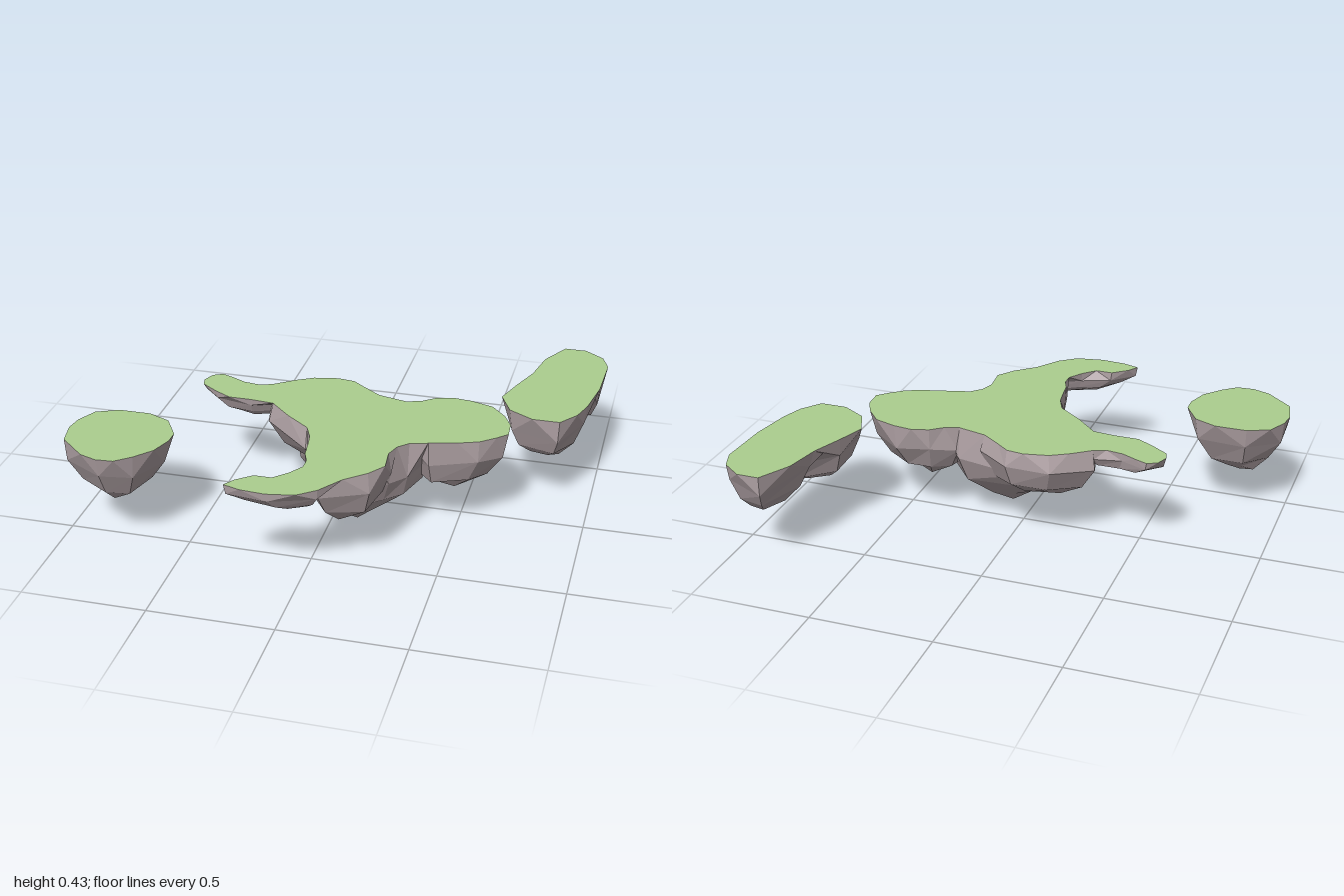
import * as THREE from 'three';

const TOP = 0.425;
const grass = new THREE.MeshStandardMaterial({ color: 0xaccf8f, side: THREE.DoubleSide });
const stone = new THREE.MeshStandardMaterial({ color: 0xb3a5a8, flatShading: true, side: THREE.DoubleSide });

// Shorelines as [x, z], clockwise seen from above
const mainShore = [
  [-.62, -.09], [-.6, -.14], [-.56, -.16], [-.51, -.14], [-.45, -.11], [-.38, -.1], [-.33, -.12], [-.25, -.18],
  [-.18, -.22], [-.08, -.24], [-.01, -.23], [.04, -.19], [.12, -.13], [.24, -.1], [.3, -.12], [.35, -.16],
  [.42, -.18], [.5, -.17], [.59, -.14], [.65, -.07], [.685, 0], [.69, .08], [.65, .12], [.59, .17],
  [.51, .2], [.4, .23], [.33, .25], [.29, .29], [.27, .35], [.28, .45], [.23, .52], [.15, .59],
  [.08, .69], [.01, .745], [-.1, .765], [-.2, .757], [-.27, .735], [-.24, .69], [-.18, .64], [-.11, .64],
  [-.06, .59], [-.02, .53], [-.02, .48], [-.04, .43], [-.05, .35], [-.06, .29], [-.09, .22], [-.19, .14],
  [-.28, .05], [-.38, .04], [-.47, .04], [-.54, 0], [-.61, -.05],
];
const roundShore = [
  [-.86, .26], [-.73, .26], [-.64, .3], [-.58, .4], [-.58, .46], [-.61, .55], [-.67, .62],
  [-.73, .67], [-.8, .675], [-.87, .65], [-.98, .55], [-1, .45], [-.99, .38], [-.95, .3],
];
const longShore = [
  [.8, -.77], [.89, -.77], [.97, -.71], [1, -.63], [.99, -.41], [.96, -.24], [.93, -.15],
  [.87, -.07], [.76, -.07], [.66, -.13], [.61, -.24], [.65, -.36], [.7, -.49], [.73, -.64],
];

function seeded(seed) {
  return () => {
    seed = (seed * 16807) % 2147483647;
    return seed / 2147483647 - 0.5;
  };
}

function grassTop(name, shore) {
  const shape = new THREE.Shape(shore.map(([x, z]) => new THREE.Vector2(x, -z)));
  const mesh = new THREE.Mesh(new THREE.ShapeGeometry(shape), grass);
  mesh.geometry.rotateX(-Math.PI / 2);
  mesh.position.y = TOP;
  mesh.name = name;
  return mesh;
}

// Hanging boulder: the rim shrinks in jittered rings of [scale, depth share] to a low tip.
// Rings below the rim use every second corner, which gives large facets.
function boulder(name, rim, [ax, ay, az], seed, rings) {
  const rand = seeded(seed * 7919 + 13);
  const n = rim.length, pos = [], index = [];
  rings.forEach(([s, d], k) => rim.forEach(([x, z]) => {
    const scale = s + (k ? rand() * 0.09 : 0);
    const depth = d + (k ? rand() * 0.12 : 0);
    pos.push(ax + (x - ax) * scale, TOP - (TOP - ay) * depth, az + (z - az) * scale);
  }));
  pos.push(ax, ay, az);
  const tip = rings.length * n;
  const corner = (k, i) => k * n + (k ? i - i % 2 : i);
  const face = (a, b, c) => { if (a !== b && b !== c && c !== a) index.push(a, b, c); };
  for (let k = 0; k < rings.length; k++) {
    for (let i = 0; i < n; i++) {
      const j = (i + 1) % n, a = corner(k, i), b = corner(k, j);
      if (k === rings.length - 1) {
        face(a, b, tip);
      } else {
        face(a, b, corner(k + 1, j));
        face(a, corner(k + 1, j), corner(k + 1, i));
      }
    }
  }
  const geo = new THREE.BufferGeometry();
  geo.setAttribute('position', new THREE.Float32BufferAttribute(pos, 3));
  geo.setIndex(index);
  geo.computeVertexNormals();
  const mesh = new THREE.Mesh(geo, stone);
  mesh.name = name;
  return mesh;
}

function island(name, ...parts) {
  const group = new THREE.Group();
  group.name = name;
  group.add(...parts);
  return group;
}

export function createModel() {
  const model = new THREE.Group();
  model.name = 'floatingIslands';
  const shore = (a, b) => mainShore.slice(a, b + 1);

  // Side profiles of the boulders
  const cone = [[1, 0], [1, .3], [.86, .55], [.42, .78]];
  const bulging = [[1, 0], [1.06, .3], [.84, .7], [.42, .92]];
  const sloped = [[1, 0], [.94, .36], [.7, .72], [.36, .92]];

  // Main island: a deep core with boulders under each arm
  model.add(island('mainIsland',
    grassTop('mainGrass', mainShore),
    boulder('coreRock', [[-.21, 0], [-.16, -.11], [-.04, -.16], ...shore(12, 13), [.34, -.03], [.4, .08],
      ...shore(25, 28), [.24, .42], [.1, .47], ...shore(43, 47)], [.1, 0, .15], 3, cone),
    boulder('backRock', [...shore(6, 12), [.1, .05], ...shore(46, 48)], [-.08, .18, -.04], 5, bulging),
    boulder('rightRock', [...shore(13, 25), [.27, .16], [.22, .03]], [.42, .155, .04], 8, sloped),
    boulder('leftArmRock', [...shore(0, 7), [-.2, -.05], ...shore(48, 52)], [-.38, .325, -.03], 11, sloped),
    boulder('stemRock', [[.1, .28], ...shore(27, 31), [.07, .62], ...shore(41, 45)], [.13, .18, .4], 14, bulging),
    boulder('tailRock', [[.08, .52], ...shore(31, 41)], [0, .32, .63], 17, sloped),
  ));

  // Round islet
  model.add(island('roundIslet',
    grassTop('roundGrass', roundShore),
    boulder('roundRock', roundShore, [-.8, .15, .46], 21, [[1, 0], [.93, .33], [.66, .67], [.3, .9]]),
  ));

  // Long islet with two hanging lobes
  model.add(island('longIslet',
    grassTop('longGrass', longShore),
    boulder('longFrontRock', [[.85, -.5], ...longShore.slice(4, 13)], [.79, .185, -.24], 25, sloped),
    boulder('longBackRock', [...longShore.slice(0, 5), [.97, -.35], [.83, -.32], [.66, -.37],
      ...longShore.slice(12)], [.87, .215, -.61], 28, sloped),
  ));
  return model;
}
